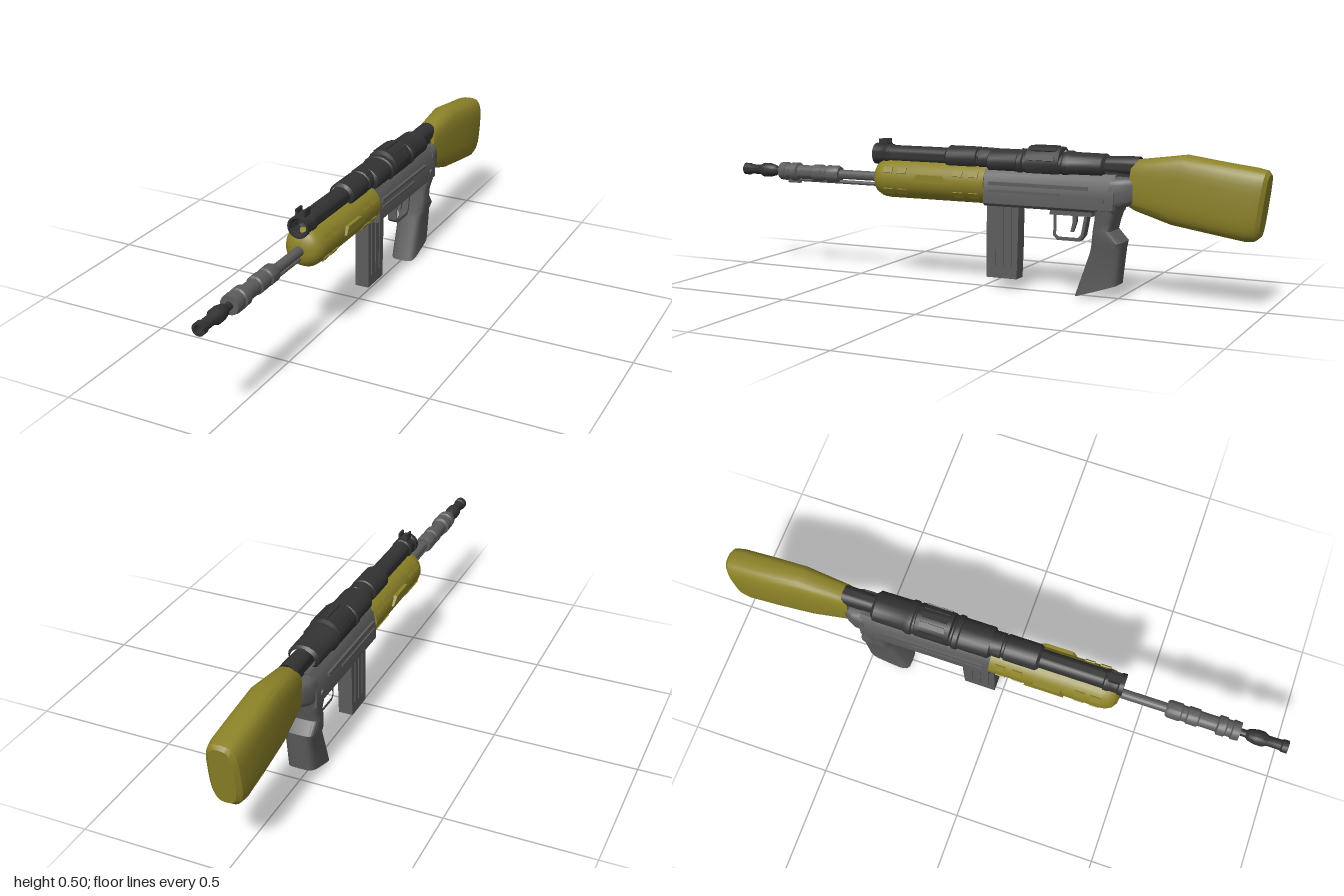
import * as THREE from 'three';
import { toCreasedNormals } from 'three/addons/utils/BufferGeometryUtils.js';

const steel = new THREE.MeshStandardMaterial({ color: 0x5c5c5c });
const dark = new THREE.MeshStandardMaterial({ color: 0x323232 });
const olive = new THREE.MeshStandardMaterial({ color: 0x8c8228 });

export function createModel() {
  const model = new THREE.Group();

  const add = (name, geo, mat, x = 0, y = 0, z = 0) => {
    const mesh = new THREE.Mesh(toCreasedNormals(geo, 0.6), mat);
    mesh.name = name;
    mesh.position.set(x, y, z);
    model.add(mesh);
    return mesh;
  };
  const box = (name, mat, w, h, d, x, y, z) => add(name, new THREE.BoxGeometry(w, h, d), mat, x, y, z);

  // Turned part along z: profile is [z, radius], rear to front
  const turned = (name, mat, y, profile, segments = 24, sx = 1) => {
    const geo = new THREE.LatheGeometry(profile.map(([z, r]) => new THREE.Vector2(r, z)), segments);
    return add(name, geo.rotateX(Math.PI / 2).scale(sx, 1, 1), mat, 0, y, 0);
  };

  // Side profile in [z, y], extruded across x
  const plate = (name, mat, points, width, hole) => {
    const toV = ([z, y]) => new THREE.Vector2(z, y);
    const shape = new THREE.Shape(points.map(toV));
    if (hole) shape.holes.push(new THREE.Path(hole.map(toV)));
    const geo = new THREE.ExtrudeGeometry(shape, { depth: width, bevelEnabled: false });
    return add(name, geo.translate(0, 0, -width / 2).rotateY(-Math.PI / 2), mat);
  };

  // Loft of superellipse sections [za, ya, zb, yb, halfWidth]
  const loft = (name, mat, sections, power, n = 24) => {
    const pos = [], index = [];
    const soft = (v) => Math.sign(v) * Math.pow(Math.abs(v), power);
    sections.forEach(([za, ya, zb, yb, w]) => {
      for (let i = 0; i < n; i++) {
        const t = (i / n) * Math.PI * 2, c = soft(Math.cos(t));
        pos.push(w * soft(Math.sin(t)), (ya + yb) / 2 + (c * (ya - yb)) / 2, (za + zb) / 2 + (c * (za - zb)) / 2);
      }
    });
    const last = sections.length - 1;
    for (const k of [0, last]) {
      const [za, ya, zb, yb] = sections[k];
      pos.push(0, (ya + yb) / 2, (za + zb) / 2);
    }
    const c0 = n * (last + 1);
    for (let i = 0; i < n; i++) {
      const j = (i + 1) % n;
      for (let k = 0; k < last; k++) {
        const a = k * n + i, b = k * n + j;
        index.push(a, b, a + n, b, b + n, a + n);
      }
      index.push(c0, j, i, c0 + 1, last * n + i, last * n + j);
    }
    const geo = new THREE.BufferGeometry();
    geo.setAttribute('position', new THREE.Float32BufferAttribute(pos, 3));
    geo.setIndex(index);
    return add(name, geo, mat);
  };

  // Barrel, collar and muzzle
  const axis = 0.363;
  turned('barrel', steel, axis, [[0.38, 0.017], [0.58, 0.017], [0.58, 0.026], [0.59, 0.031], [0.63, 0.031],
    [0.635, 0.027], [0.65, 0.027], [0.655, 0.031], [0.69, 0.031], [0.695, 0.026], [0.755, 0.026], [0.76, 0.034],
    [0.785, 0.034], [0.79, 0.029], [0.805, 0.029], [0.81, 0.034], [0.835, 0.032], [0.835, 0]], 20);
  turned('muzzle', dark, axis, [[0.82, 0.013], [0.855, 0.013], [0.865, 0.02], [0.89, 0.026], [0.915, 0.026],
    [0.93, 0.018], [0.975, 0.018], [0.98, 0.022], [1, 0.022], [1, 0.013], [0.94, 0.01], [0.94, 0]], 20);
  add('gasRod', new THREE.CylinderGeometry(0.007, 0.007, 0.39, 8).rotateX(Math.PI / 2), steel, 0, 0.335, 0.595);
  box('rodBracket', steel, 0.016, 0.024, 0.05, 0, 0.334, 0.78);

  // Handguard with rounded nose, raised blocks and side wings
  turned('handguard', olive, axis, [[-0.03, 0], [-0.03, 0.07], [0.36, 0.07], [0.385, 0.067], [0.405, 0.056],
    [0.417, 0.038], [0.42, 0.018], [0.42, 0]], 32);
  for (const s of [-1, 1]) {
    for (const angle of [-0.6, 0.5]) {
      for (const z of [0.01, 0.07, 0.29, 0.345]) {
        const rib = box('handguardBlock', olive, 0.008, 0.022, 0.035,
          s * 0.069 * Math.cos(angle), axis + 0.069 * Math.sin(angle), z);
        rib.rotation.z = s * angle;
      }
    }
    plate('handguardWing', olive, [[0.24, 0.36], [0.225, 0.387], [0.13, 0.387], [0.1, 0.36]], 0.018).position.x = s * 0.07;
  }

  // Receiver with side rails
  const half = [[0.04, 0.42], [0.058, 0.4], [0.067, 0.345], [0.067, 0.303], [0.056, 0.293]];
  const outline = [...half, ...half.map(([x, y]) => [-x, y]).reverse()].map(([x, y]) => new THREE.Vector2(x, y));
  const body = new THREE.ExtrudeGeometry(new THREE.Shape(outline), { depth: 0.47, bevelEnabled: false });
  add('receiver', body, steel, 0, 0, -0.5);
  loft('receiverTail', steel, [[-0.49, 0.415, -0.47, 0.297, 0.064], [-0.53, 0.415, -0.52, 0.31, 0.062],
    [-0.565, 0.41, -0.565, 0.325, 0.04]], 0.5);
  for (const s of [-1, 1]) {
    box('receiverRail', steel, 0.014, 0.012, 0.36, s * 0.063, 0.372, -0.23);
    box('lowerRail', steel, 0.01, 0.008, 0.26, s * 0.066, 0.347, -0.18);
    add('receiverPin', new THREE.CylinderGeometry(0.01, 0.01, 0.012, 12).rotateZ(Math.PI / 2), steel, s * 0.066, 0.335, -0.46);
  }

  // Optic: front tube, mid sleeve, housing and eyepiece
  const sight = 0.447;
  turned('opticTube', dark, sight, [[0.12, 0.033], [0.355, 0.033], [0.36, 0.037], [0.375, 0.037], [0.38, 0.034],
    [0.405, 0.034], [0.41, 0.038], [0.425, 0.038], [0.425, 0.031], [0.38, 0.022], [0.37, 0]]);
  turned('opticSleeve', dark, sight, [[-0.04, 0.04], [0.0, 0.041], [0.003, 0.037], [0.01, 0.037], [0.013, 0.042],
    [0.125, 0.042], [0.135, 0.033]], 24, 1.1);
  turned('opticHousing', dark, 0.442, [[-0.46, 0.034], [-0.45, 0.043], [-0.34, 0.044], [-0.33, 0.048], [-0.315, 0.048],
    [-0.31, 0.044], [-0.17, 0.044], [-0.165, 0.048], [-0.15, 0.048], [-0.145, 0.044], [-0.04, 0.044], [-0.03, 0.034]], 20, 1.28);
  turned('opticDrum', dark, sight - 0.003, [[-0.305, 0.045], [-0.3, 0.058], [-0.18, 0.058], [-0.175, 0.045]], 16);
  for (let i = 0; i < 5; i++) {
    const a = (i - 2) * 0.6;
    const grip = box('drumRib', dark, 0.018, 0.005, 0.09, 0.058 * Math.sin(a), 0.444 + 0.058 * Math.cos(a), -0.24);
    grip.rotation.z = -a;
  }
  turned('eyepiece', dark, sight, [[-0.53, 0], [-0.565, 0.026], [-0.57, 0.034], [-0.53, 0.034], [-0.44, 0.03]]);
  box('opticMount', dark, 0.05, 0.04, 0.52, 0, 0.42, -0.29);
  for (const s of [-1, 1]) box('frontSightEar', dark, 0.007, 0.024, 0.035, s * 0.014, 0.49, 0.39);
  box('frontSightBase', dark, 0.034, 0.01, 0.04, 0, 0.482, 0.39);

  // Magazine with side ribs
  plate('magazine', steel, [[-0.025, 0.31], [-0.145, 0.31], [-0.142, 0.14], [-0.138, 0.038], [-0.024, 0.038]], 0.052);
  for (const s of [-1, 1]) {
    for (const z of [-0.052, -0.083, -0.114]) box('magazineRib', steel, 0.007, 0.22, 0.014, s * 0.026, 0.19, z);
  }

  // Trigger and its guard
  plate('triggerGuard', steel, [[-0.27, 0.285], [-0.27, 0.2], [-0.285, 0.186], [-0.365, 0.186], [-0.38, 0.205], [-0.395, 0.285]],
    0.034, [[-0.281, 0.272], [-0.281, 0.206], [-0.29, 0.198], [-0.36, 0.198], [-0.37, 0.21], [-0.382, 0.272]]);
  box('guardMount', steel, 0.05, 0.03, 0.15, 0, 0.288, -0.335);
  plate('trigger', steel, [[-0.335, 0.29], [-0.35, 0.29], [-0.35, 0.25], [-0.338, 0.215], [-0.328, 0.215], [-0.336, 0.25]], 0.012);

  // Pistol grip, lofted from the receiver down
  loft('grip', steel, [[-0.515, 0.35, -0.43, 0.35, 0.062], [-0.505, 0.3, -0.427, 0.298, 0.066],
    [-0.493, 0.262, -0.425, 0.262, 0.058], [-0.486, 0.232, -0.42, 0.23, 0.058], [-0.523, 0.195, -0.414, 0.18, 0.057],
    [-0.52, 0.17, -0.407, 0.155, 0.048], [-0.507, 0.05, -0.353, 0.0, 0.048]], 0.45);

  // Shoulder stock with slanted, softened butt
  loft('stock', olive, [[-0.55, 0.462, -0.54, 0.312, 0.041], [-0.565, 0.472, -0.56, 0.302, 0.044],
    [-0.727, 0.494, -0.684, 0.264, 0.056], [-0.85, 0.476, -0.82, 0.243, 0.06], [-0.96, 0.462, -0.925, 0.227, 0.06],
    [-0.99, 0.455, -0.957, 0.229, 0.054], [-1.0, 0.443, -0.973, 0.242, 0.04]], 0.62, 32);

  return model;
}
